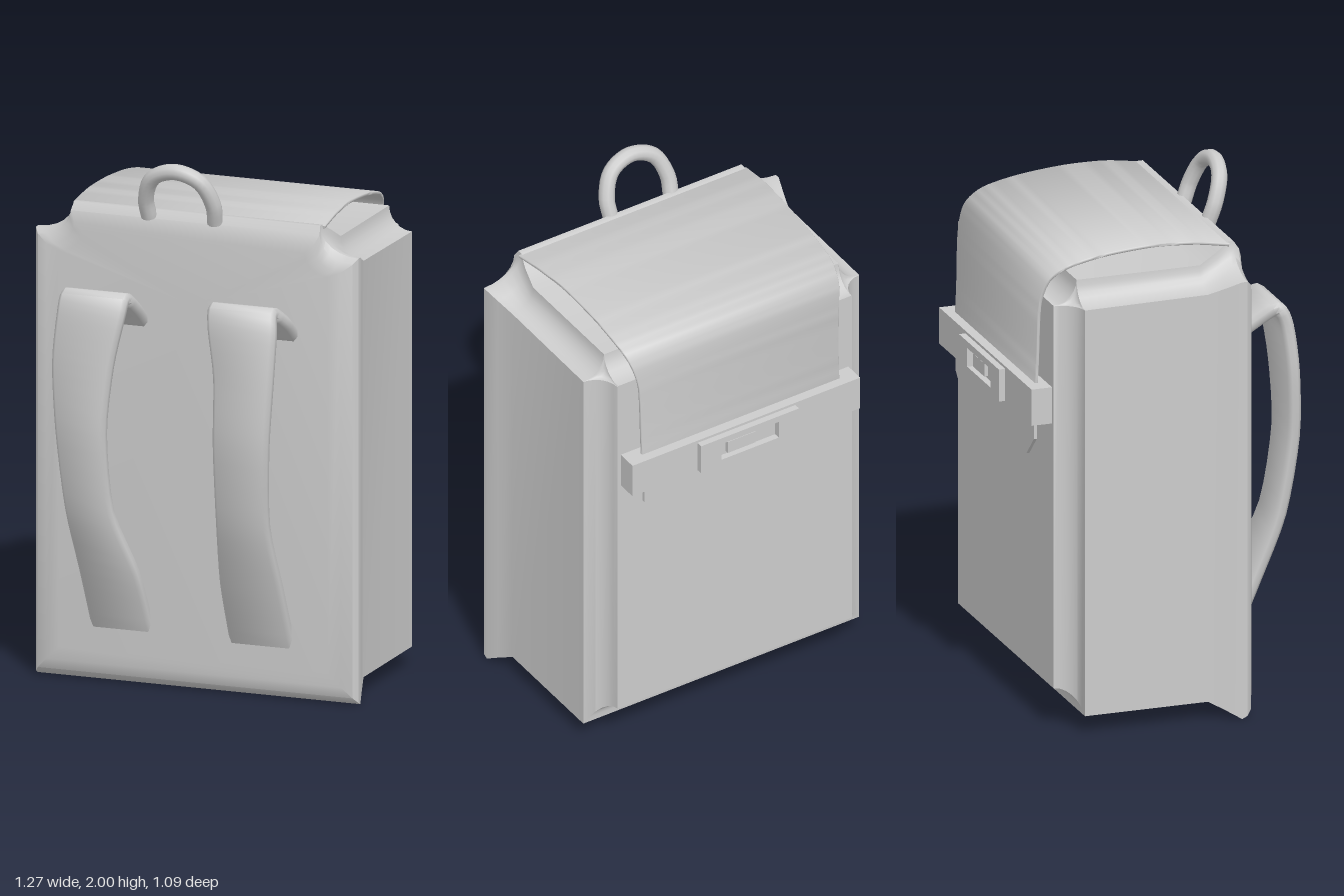
import * as THREE from 'three';
import { toCreasedNormals } from 'three/addons/utils/BufferGeometryUtils.js';

const material = new THREE.MeshStandardMaterial({ color: 0xcccccc });
const doubleSided = new THREE.MeshStandardMaterial({ color: 0xcccccc, side: THREE.DoubleSide });

function part(name, geometry, mat = material) {
  const mesh = new THREE.Mesh(geometry, mat);
  mesh.name = name;
  return mesh;
}

// Skin a list of closed rings (arrays of [x, y, z]) and cap both ends
function loft(rings, crease = 0.6) {
  const n = rings[0].length, pos = rings.flat(2), index = [];
  for (let i = 0; i < rings.length - 1; i++) {
    for (let j = 0; j < n; j++) {
      const a = i * n + j, b = i * n + (j + 1) % n;
      index.push(a, a + n, b + n, a, b + n, b);
    }
  }
  const cap = (start, flip) => {
    const ring = rings[start / n], c = pos.length / 3;
    for (let k = 0; k < 3; k++) pos.push(ring.reduce((s, p) => s + p[k], 0) / n);
    for (let j = 0; j < n; j++) {
      const a = start + j, b = start + (j + 1) % n;
      if (flip) index.push(c, b, a); else index.push(c, a, b);
    }
  };
  cap(0, false);
  cap((rings.length - 1) * n, true);
  const g = new THREE.BufferGeometry();
  g.setAttribute('position', new THREE.Float32BufferAttribute(pos, 3));
  g.setIndex(index);
  return toCreasedNormals(g, crease);
}

// Body outline at depth z: square below, scooped corners above
function bodyRing([z, w, y0, y1, nx, ny]) {
  const right = [[w, y0]];
  for (let i = 0; i <= 6; i++) {
    const a = (i / 6) * Math.PI / 2;
    right.push([w - nx * Math.sin(a), y1 - ny * Math.cos(a)]);
  }
  const left = right.map(([x, y]) => [-x, y]).reverse();
  return [...right, ...left].map(([x, y]) => [x, y, z]);
}

function makeBody() {
  const sections = [
    [0.31, 0.53, 0.12, 1.70, 0.09, 0.08],
    [0.305, 0.58, 0.07, 1.73, 0.11, 0.09],
    [0.29, 0.62, 0.03, 1.77, 0.13, 0.10],
    [0.27, 0.635, 0.01, 1.80, 0.15, 0.11],
    [0.25, 0.635, 0.0, 1.80, 0.15, 0.11],
    [0.20, 0.62, 0.03, 1.77, 0.12, 0.10],
    [0.13, 0.60, 0.07, 1.73, 0.09, 0.085],
  ];
  // Hollowed edge leading into the back panel
  for (let i = 0; i <= 6; i++) {
    const a = (i / 6) * Math.PI / 2, s = 0.09 * Math.sin(a), k = 0.088 * (1 - Math.sin(a)) + 0.002;
    sections.push([-0.35 - 0.09 * (1 - Math.cos(a)), 0.60 - s, 0.07 + s, 1.73 - s, k, k]);
  }
  return loft(sections.map(bodyRing));
}

// Ribbon through stations [y, z, xLeft, xRight] with bevelled edges
function ribbon(stations, thick, bevel, steps) {
  const curve = k => new THREE.CatmullRomCurve3(
    stations.map(s => new THREE.Vector3(s[k], s[0], s[1])), false, 'catmullrom', 0.4);
  const lo = curve(2), hi = curve(3), rings = [];
  for (let i = 0; i <= steps; i++) {
    const t = i / steps, a = lo.getPoint(t), b = hi.getPoint(t);
    const p0 = lo.getPoint(Math.max(0, t - 0.01)), p1 = lo.getPoint(Math.min(1, t + 0.01));
    const d = p1.sub(p0).setX(0).normalize();
    const h = thick / 2, e = bevel;
    const section = [
      [a.x + e, -h], [b.x - e, -h], [b.x, -h + e], [b.x, h - e],
      [b.x - e, h], [a.x + e, h], [a.x, h - e], [a.x, -h + e],
    ];
    rings.push(section.map(([x, v]) => [x, a.y - d.z * v, a.z + d.y * v]));
  }
  return loft(rings, 0.9);
}

function polygon(points) {
  return new THREE.Shape(points.map(p => new THREE.Vector2(...p)));
}

export function createModel() {
  const model = new THREE.Group();
  model.name = 'backpack';
  model.add(part('body', makeBody()));

  // Shoulder straps
  const rightStrap = [
    [1.38, 0.29, -0.41, -0.18], [1.45, 0.38, -0.43, -0.18], [1.50, 0.46, -0.455, -0.19],
    [1.43, 0.495, -0.46, -0.20], [1.25, 0.515, -0.47, -0.235], [1.0, 0.52, -0.455, -0.26],
    [0.70, 0.475, -0.435, -0.25], [0.45, 0.385, -0.415, -0.185], [0.22, 0.29, -0.405, -0.165],
  ];
  const leftStrap = [
    [1.38, 0.29, 0.17, 0.41], [1.45, 0.38, 0.15, 0.41], [1.50, 0.46, 0.125, 0.39],
    [1.43, 0.495, 0.135, 0.40], [1.25, 0.515, 0.165, 0.395], [1.0, 0.52, 0.165, 0.38],
    [0.70, 0.475, 0.16, 0.365], [0.45, 0.385, 0.14, 0.38], [0.21, 0.29, 0.14, 0.39],
  ];
  model.add(part('rightStrap', ribbon(rightStrap, 0.05, 0.014, 32)));
  model.add(part('leftStrap', ribbon(leftStrap, 0.05, 0.014, 32)));

  // Carrying handle, leaning forward
  const arch = [[-0.13, 1.775], [-0.132, 1.85], [-0.092, 1.937], [0, 1.971],
    [0.092, 1.937], [0.132, 1.85], [0.13, 1.775]];
  const handlePath = new THREE.CatmullRomCurve3(
    arch.map(([x, y]) => new THREE.Vector3(x - 0.055, y, 0.28 + (y - 1.775) * 0.36)));
  model.add(part('handle', new THREE.TubeGeometry(handlePath, 28, 0.03, 10), doubleSided));

  // Flap over the top and down the back
  const flap = [
    [1.79, 0.25, -0.495, 0.495], [1.81, 0.12, -0.49, 0.49], [1.815, -0.04, -0.48, 0.48],
    [1.80, -0.22, -0.475, 0.475], [1.77, -0.36, -0.47, 0.47], [1.72, -0.435, -0.455, 0.455],
    [1.62, -0.465, -0.435, 0.435], [1.42, -0.472, -0.43, 0.43], [1.25, -0.48, -0.43, 0.43],
  ];
  model.add(part('flap', ribbon(flap, 0.012, 0.002, 40)));

  // Tapered tail of the flap below the belt
  const tail = new THREE.ExtrudeGeometry(polygon([
    [-0.42, 1.26], [-0.42, 1.10], [-0.34, 1.02], [0.34, 1.02], [0.42, 1.10], [0.42, 1.26],
  ]), { depth: 0.012, bevelEnabled: false });
  tail.translate(0, 0, -0.484);
  model.add(part('flapTail', tail));

  // Belt and buckle across the back
  const belt = new THREE.BoxGeometry(0.99, 0.14, 0.08);
  belt.translate(0, 1.25, -0.48);
  model.add(part('belt', belt));

  const rect = (w, h) => [[-w, -h], [w, -h], [w, h], [-w, h]];
  const frame = polygon(rect(0.213, 0.062));
  frame.holes.push(polygon(rect(0.125, 0.036).reverse()));
  const buckle = new THREE.ExtrudeGeometry(frame, { depth: 0.04, bevelEnabled: false });
  buckle.translate(0, 1.248, -0.545);
  model.add(part('buckleFrame', buckle));

  const plate = new THREE.BoxGeometry(0.12, 0.05, 0.02);
  plate.translate(0.03, 1.248, -0.525);
  model.add(part('bucklePlate', plate));
  return model;
}
